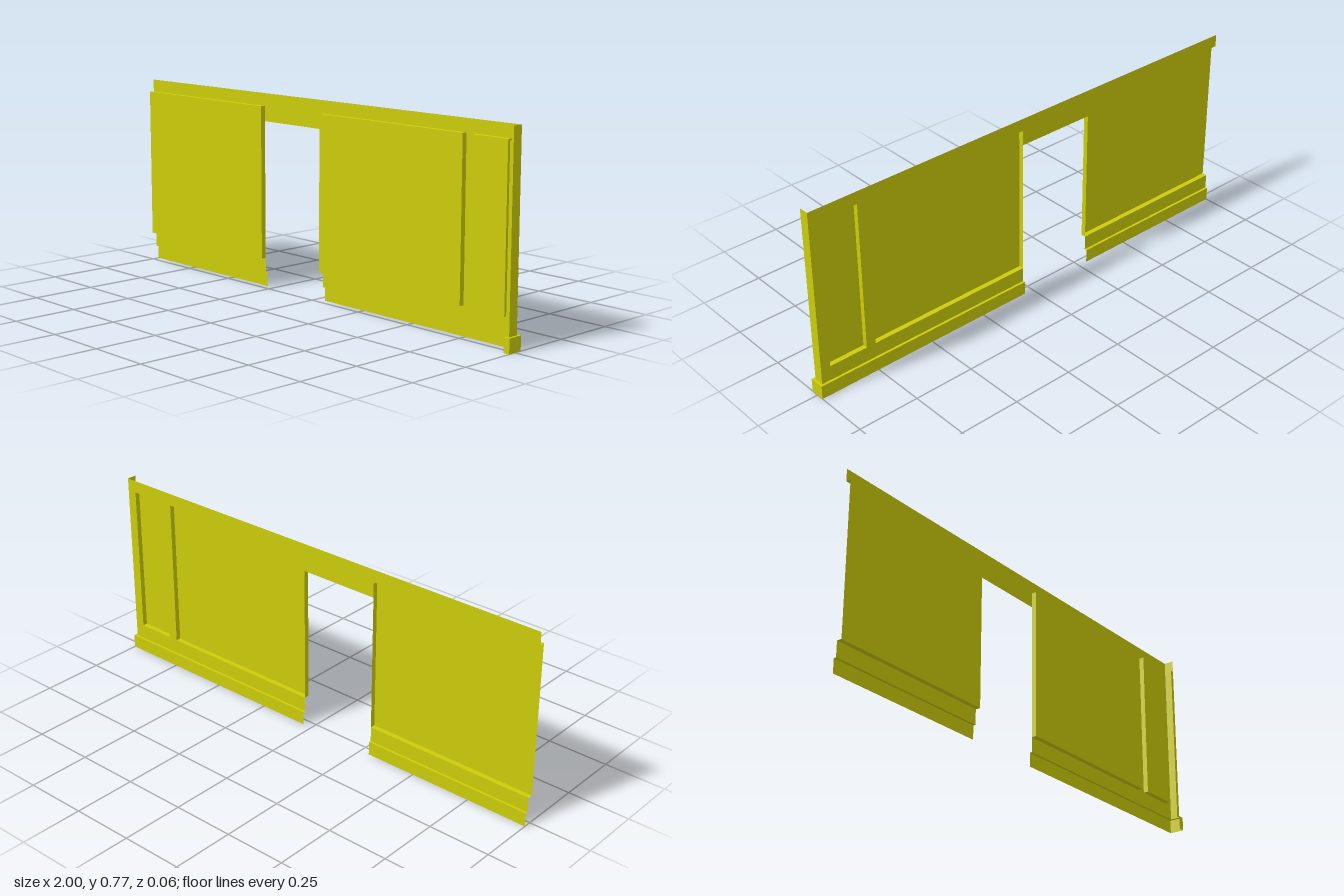
import * as THREE from 'three';

const material = new THREE.MeshStandardMaterial({ color: 0xcccc0a, side: THREE.DoubleSide });

// Levels: skirting top, panel bottom, door head, panel top, wall top
const SKIRT = 0.055, LOW = 0.115, HEAD = 0.66, HIGH = 0.72, TOP = 0.77;
// Depths: skirting, wall face, panel face
const ZS = -0.03, ZW = -0.02, ZP = 0;
// Plan positions: wall start, door sides, wall end, skirting end, end return
const X0 = -1, D0 = -0.29, D1 = 0.04, X1 = 0.99, XS = 1, XR = 0.975;

// Open surface joining two matching 3D polylines
function ribbon(a, b) {
  const p = [];
  for (let i = 0; i < a.length - 1; i++) {
    p.push(...a[i], ...b[i + 1], ...a[i + 1], ...a[i], ...b[i], ...b[i + 1]);
  }
  const g = new THREE.BufferGeometry();
  g.setAttribute('position', new THREE.Float32BufferAttribute(p, 3));
  g.computeVertexNormals();
  return g;
}

export function createModel() {
  const model = new THREE.Group();
  const add = (name, a, b) => {
    const m = new THREE.Mesh(ribbon(a, b), material);
    m.name = name;
    model.add(m);
  };
  const at = (plan, y) => plan.map(([x, z]) => [x, y, z]);
  const wall = (name, plan, y0, y1) => add(name, at(plan, y0), at(plan, y1));
  const ledge = (name, a, b, y) => add(name, at(a, y), at(b, y));

  // Left wall section: panel runs out through the open end
  wall('leftPanelBand', [[X0, ZP], [D0, ZP], [D0, ZW]], LOW, HIGH);

  // Right wall section: two panels with a rib between them, then the end return
  wall('rightPanelBand', [
    [D1, ZW], [D1, ZP], [0.75, ZP], [0.75, ZW], [0.79, ZW], [0.79, ZP],
    [0.95, ZP], [0.95, ZW], [X1, ZW], [X1, -ZW], [XR, -ZW],
  ], LOW, HIGH);

  // Top and bottom edges of each panel
  for (const [x0, x1] of [[X0, D0], [D1, 0.75], [0.79, 0.95]]) {
    for (const y of [LOW, HIGH]) {
      ledge('panelEdge', [[x0, ZW], [x1, ZW]], [[x0, ZP], [x1, ZP]], y);
    }
  }

  // Plain wall above the panels and over the doorway
  wall('topBand', [[X0, ZW], [X1, ZW], [X1, -ZW]], HIGH, TOP);
  wall('doorHeader', [[D0, ZW], [D1, ZW]], HEAD, HIGH);

  // Lower wall strip, skirting ledge and skirting on both sides of the door
  const lower = {
    left: [[[X0, ZW], [D0, ZW]], [[X0, ZS], [D0, ZS]]],
    right: [
      [[D1, ZW], [X1, ZW], [X1, -ZW], [XR, -ZW]],
      [[D1, ZS], [XS, ZS], [XS, -ZS], [XR, -ZS]],
    ],
  };
  for (const [side, [face, skirt]] of Object.entries(lower)) {
    wall(side + 'LowerBand', face, SKIRT, LOW);
    ledge(side + 'SkirtingLedge', face, skirt, SKIRT);
    wall(side + 'Skirting', skirt, 0, SKIRT);
  }
  return model;
}
